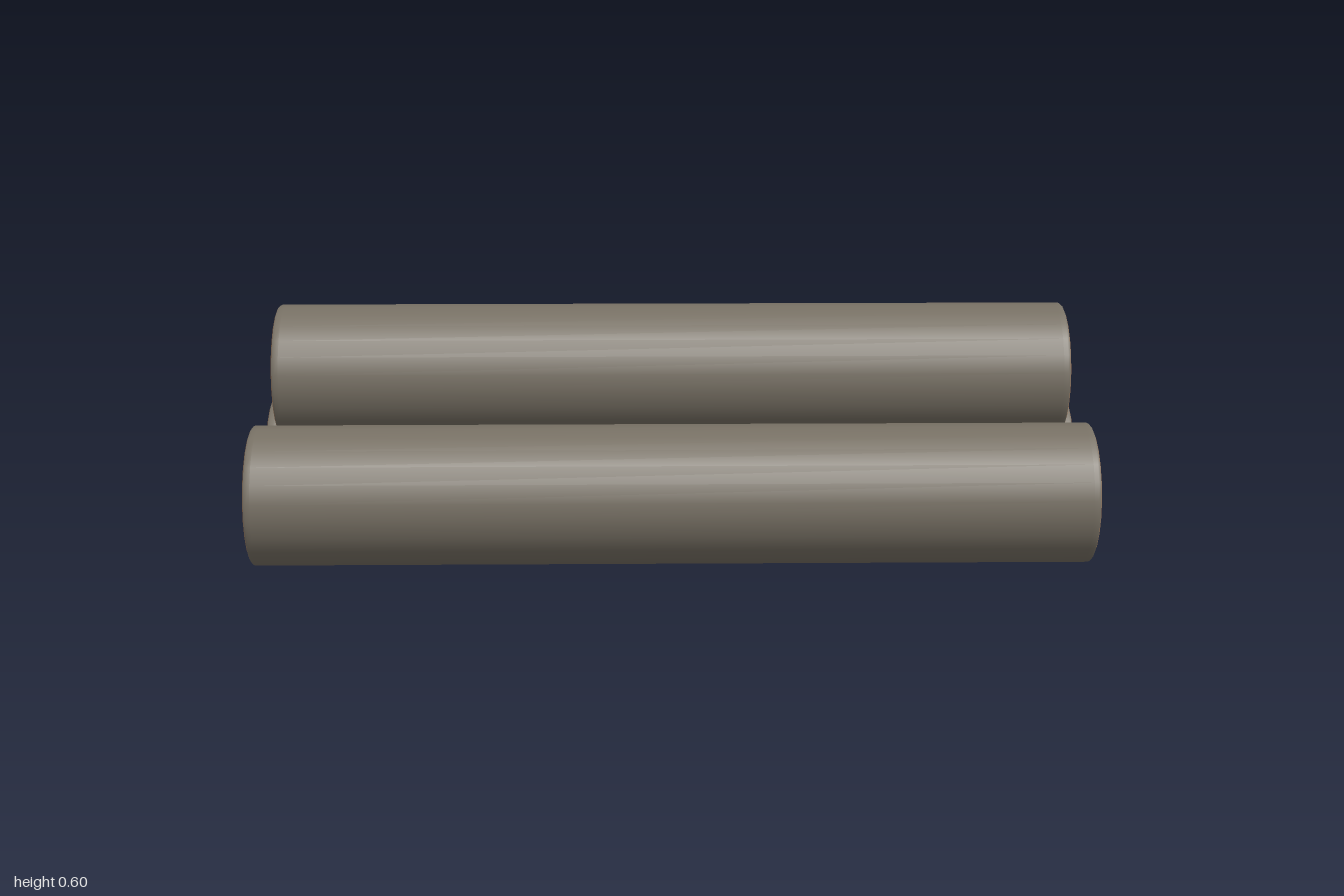
import * as THREE from 'three';

const SIDES = 24;
const BEVEL = 0.008;

// Lathe a profile of [radius, distance] pairs and lay its axis along x
function turned(points, material, name) {
  const profile = points.map(([r, d]) => new THREE.Vector2(r, d));
  const geometry = new THREE.LatheGeometry(profile, SIDES, Math.PI / SIDES);
  geometry.rotateZ(-Math.PI / 2);
  const mesh = new THREE.Mesh(geometry, material);
  mesh.name = name;
  return mesh;
}

// One log: bark tube with rounded rims, closed by a cut wood face at each end
function makeLog(name, radius, half, y, z, bark, wood) {
  const log = new THREE.Group();
  log.name = name;
  const inner = radius - BEVEL;
  const rim = [radius - BEVEL * 0.3, half - BEVEL * 0.3];

  log.add(turned([
    [rim[0], -rim[1]],
    [radius, -half + BEVEL], [radius, -half + BEVEL + 0.01],
    [radius, half - BEVEL - 0.01], [radius, half - BEVEL],
    rim,
  ], bark, 'bark'));

  const rightCut = turned([rim, [inner, half], [inner - 0.004, half], [0, half]], wood, 'cutFace');
  const leftCut = rightCut.clone();
  leftCut.rotation.y = Math.PI;
  log.add(rightCut, leftCut);

  log.position.set(0, y, z);
  return log;
}

export function createModel() {
  const bark = new THREE.MeshStandardMaterial({ color: 0x777064 });
  bark.name = 'bark';
  const wood = new THREE.MeshStandardMaterial({ color: 0xa07b5f });
  wood.name = 'cut wood';

  // Two long logs side by side with a shorter one resting on top
  const model = new THREE.Group();
  model.name = 'logPile';
  model.add(
    makeLog('frontLog', 0.168, 1, 0.168, 0.168, bark, wood),
    makeLog('backLog', 0.168, 1, 0.168, -0.169, bark, wood),
    makeLog('topLog', 0.16, 0.95, 0.439, 0.004, bark, wood),
  );
  return model;
}
